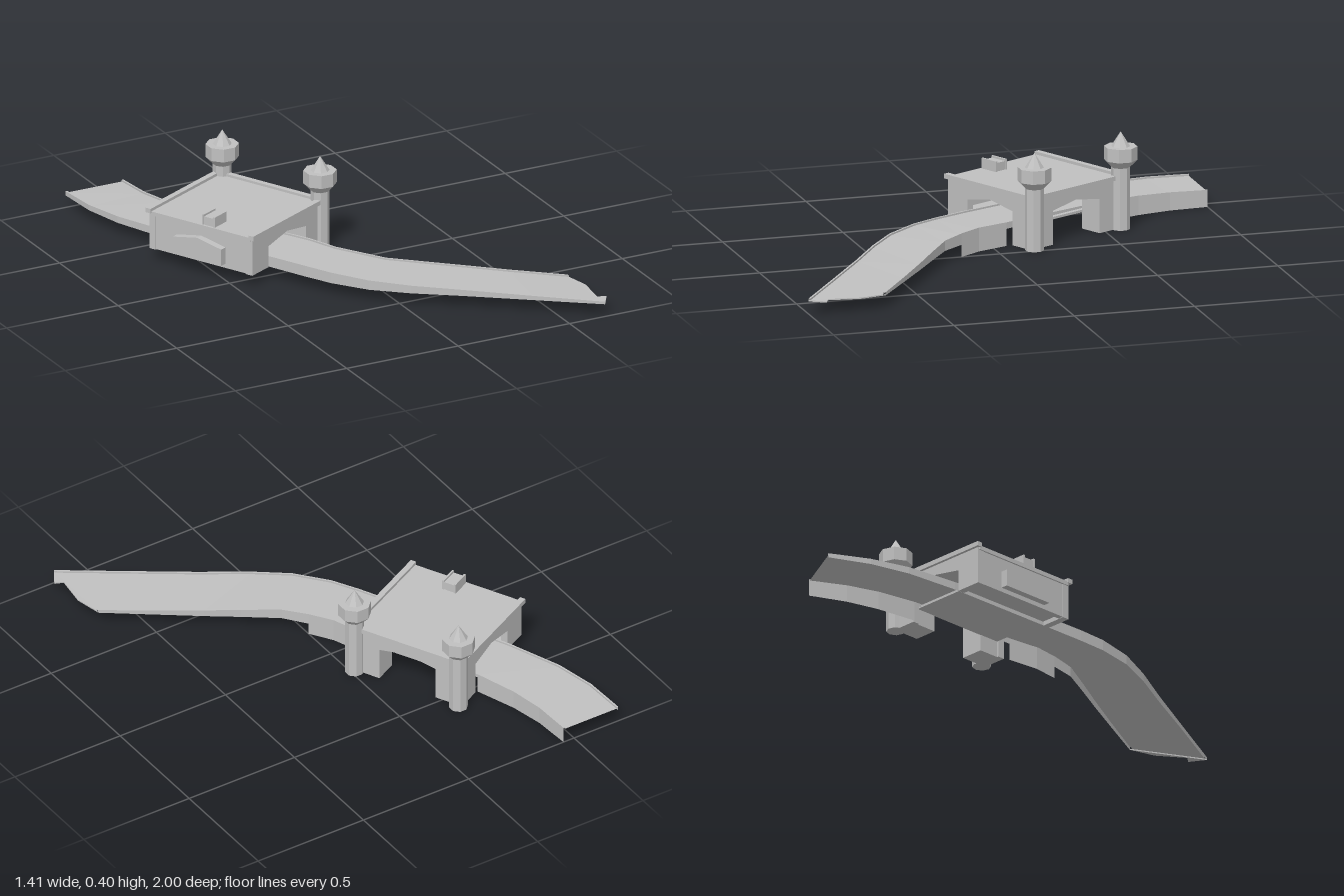
import * as THREE from 'three';

const stone = new THREE.MeshStandardMaterial({ color: 0xc0c0c0, flatShading: true, side: THREE.DoubleSide });
stone.name = 'grey stone';

function add(parent, name, geo, x = 0, y = 0, z = 0) {
  const m = new THREE.Mesh(geo, stone);
  m.name = name;
  m.position.set(x, y, z);
  parent.add(m);
  return m;
}
// box given by its minimum and maximum corners
function block(parent, name, x0, x1, y0, y1, z0, z1) {
  return add(parent, name, new THREE.BoxGeometry(x1 - x0, y1 - y0, z1 - z0),
    (x0 + x1) / 2, (y0 + y1) / 2, (z0 + z1) / 2);
}
function extrude(points, depth) {
  const shape = new THREE.Shape(points.map(([x, y]) => new THREE.Vector2(x, y)));
  return new THREE.ExtrudeGeometry(shape, { depth, bevelEnabled: false });
}
// wall outline with a gabled opening in the middle
function archWall(halfWidth, leftBase, rightBase, depth) {
  const h = 0.128;
  return extrude([[-halfWidth, leftBase], [-h, leftBase], [-h, 0.14], [0, 0.163], [h, 0.14],
    [h, rightBase], [halfWidth, rightBase], [halfWidth, 0.21], [-halfWidth, 0.21]], depth);
}

// curved roadway: each row is outer x, z, inner x, z, curb height, inner skirt base
function roadGeometry() {
  const rows = [
    [-0.71, -1.00, -0.45, -1.00, 0.070, 0],
    [-0.70, -0.82, -0.44, -0.84, 0.075, 0],
    [-0.66, -0.65, -0.41, -0.70, 0.080, 0],
    [-0.57, -0.43, -0.35, -0.53, 0.085, 0],
    [-0.57, -0.43, -0.35, -0.53, 0.085, 0.07],
    [-0.33, 0.05, -0.11, -0.06, 0.097, 0.07],
    [-0.33, 0.05, -0.11, -0.06, 0.097, 0],
    [-0.26, 0.19, -0.06, 0.07, 0.098, 0],
    [-0.20, 0.30, 0.00, 0.16, 0.097, 0],
    [-0.20, 0.30, 0.00, 0.16, 0.097, 0.05],
    [-0.10, 0.43, 0.07, 0.25, 0.092, 0.05],
    [0.03, 0.54, 0.20, 0.345, 0.085, 0.05],
    [0.20, 0.66, 0.32, 0.43, 0.078, 0.05],
    [0.43, 0.83, 0.47, 0.54, 0.070, 0.05],
    [0.66, 1.00, 0.66, 0.68, 0.063, 0.05],
  ];
  const sections = rows.map(([ax, az, bx, bz, h, base]) => {
    const at = (t, y) => [ax + (bx - ax) * t, y, az + (bz - az) * t];
    return [at(0, 0.052), at(0, h), at(0.03, h), at(0.03, h - 0.007),
      at(0.97, h - 0.007), at(0.97, h), at(1, h), at(1, base)];
  });
  const pos = [];
  for (let i = 0; i < sections.length - 1; i++) {
    for (let j = 0; j < 7; j++) {
      const a = sections[i][j], b = sections[i + 1][j], c = sections[i + 1][j + 1], d = sections[i][j + 1];
      pos.push(...a, ...b, ...c, ...a, ...c, ...d);
    }
  }
  const geo = new THREE.BufferGeometry();
  geo.setAttribute('position', new THREE.Float32BufferAttribute(pos, 3));
  geo.computeVertexNormals();
  return geo;
}

function tower(parent, x, z) {
  const t = new THREE.Group();
  t.name = 'tower';
  t.position.set(x, 0, z);
  const profile = [[0, 0], [0.038, 0], [0.038, 0.255], [0.067, 0.285], [0.067, 0.34], [0.038, 0.34], [0, 0.40]];
  const body = add(t, 'towerBody', new THREE.LatheGeometry(profile.map(([r, y]) => new THREE.Vector2(r, y)), 8));
  body.rotation.y = Math.PI / 8 - 0.47;
  parent.add(t);
}

export function createModel() {
  const model = new THREE.Group();
  model.name = 'gatehouseBridge';
  add(model, 'road', roadGeometry());

  // ragged lip at the low end of the road
  const lip = add(model, 'roadEnd', extrude(
    [[0.66, -0.68], [0.66, -1.0], [0.70, -0.935], [0.665, -0.92], [0.683, -0.79]], 0.005), 0, 0.051, 0);
  lip.rotation.x = -Math.PI / 2;

  // gatehouse, turned to follow the road
  const gate = new THREE.Group();
  gate.name = 'gatehouse';
  gate.position.set(-0.34, 0, -0.25);
  gate.rotation.y = 0.47;
  model.add(gate);

  add(gate, 'frontWall', archWall(0.24, 0.05, 0, 0.03), 0, 0, 0.22);
  add(gate, 'backWall', archWall(0.24, 0.05, 0, 0.03), 0, 0, -0.25);
  add(gate, 'towerSideWall', archWall(0.222, 0, 0, 0.1), 0.135).rotation.y = Math.PI / 2;
  block(gate, 'outerWall', -0.238, -0.215, 0.052, 0.21, -0.22, 0.22);
  block(gate, 'floor', -0.22, 0.137, 0.068, 0.078, -0.22, 0.22);
  block(gate, 'roof', -0.245, 0.24, 0.195, 0.212, -0.245, 0.245);

  // cornices
  for (const s of [-1, 1]) {
    block(gate, 'cornice', -0.25, 0.24, 0.205, 0.224, s * 0.25 - 0.012, s * 0.25 + 0.012);
  }
  block(gate, 'sideCornice', 0.225, 0.248, 0.204, 0.222, -0.24, 0.24);

  // gabled bay on the outer wall
  add(gate, 'gabledBay', extrude(
    [[-0.118, 0.07], [0.118, 0.07], [0.118, 0.14], [0, 0.163], [-0.118, 0.14]], 0.05), -0.267).rotation.y = Math.PI / 2;

  // small rooftop hatch with two cheek walls
  block(gate, 'hatch', -0.235, -0.16, 0.205, 0.247, 0.012, 0.058);
  for (const z of [0.008, 0.062]) {
    block(gate, 'hatchCheek', -0.238, -0.157, 0.205, 0.255, z - 0.004, z + 0.004);
  }

  tower(gate, 0.242, -0.238);
  tower(gate, 0.242, 0.238);
  return model;
}
